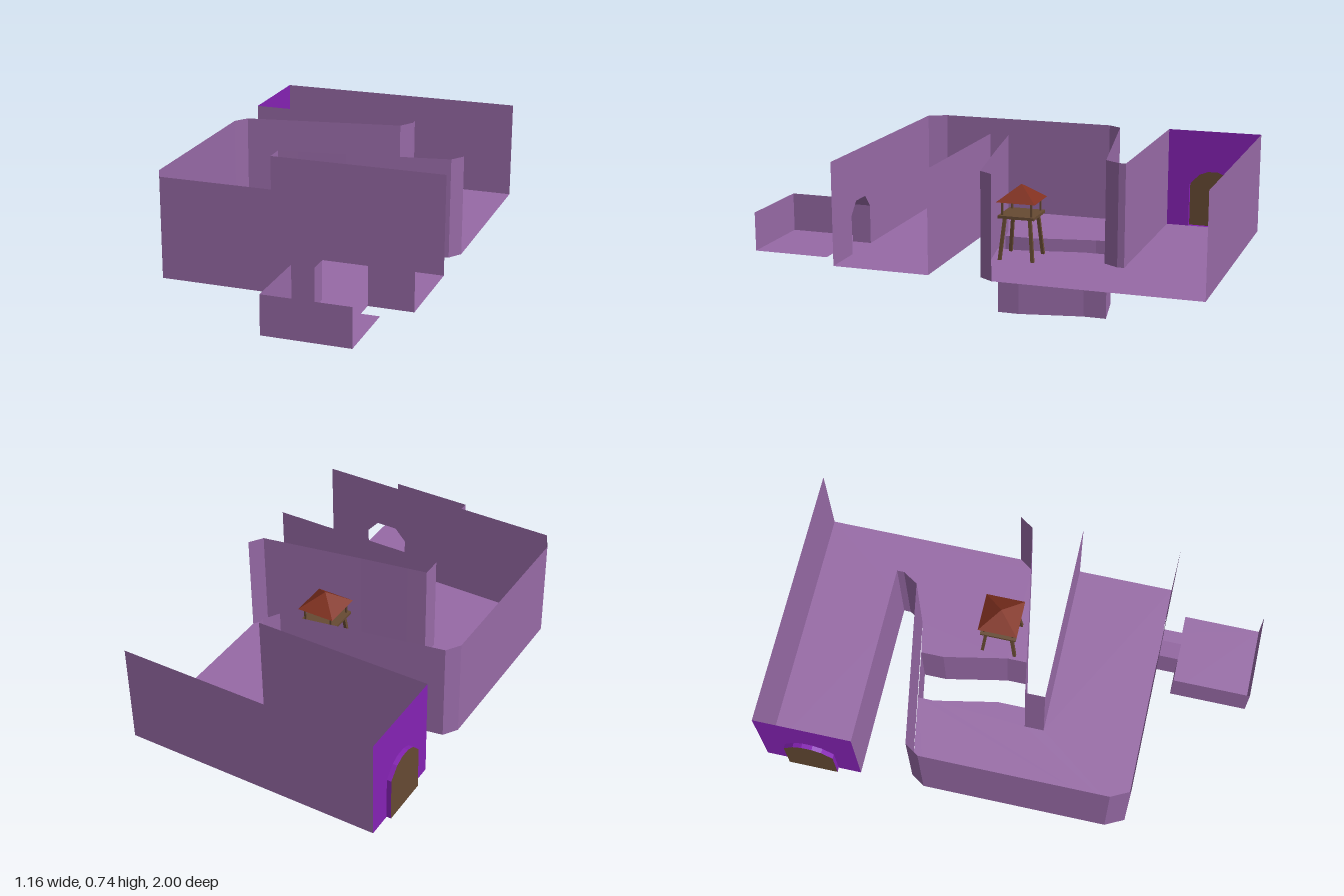
import * as THREE from 'three';

const FLOOR = 0.29, TOP = 0.735, LOW = 0.46;

export function createModel() {
  const root = new THREE.Group();
  root.name = 'caveRooms';
  const mat = (name, color) => {
    const m = new THREE.MeshStandardMaterial({ color, side: THREE.DoubleSide });
    m.name = name;
    return m;
  };
  const stone = mat('mauve stone', 0x976aa6);
  const violet = mat('violet wall', 0x8522b4);
  const wood = mat('brown wood', 0x664a33);
  const tile = mat('red brown roof', 0x80301f);

  const add = (name, geometry, material, parent = root) => {
    const mesh = new THREE.Mesh(geometry, material);
    mesh.name = name;
    parent.add(mesh);
    return mesh;
  };
  // Flat-faced strip between two rows of [x, y, z] points
  const strip = (a, b) => {
    const pos = [];
    for (let i = 0; i < a.length - 1; i++) {
      pos.push(...a[i], ...a[i + 1], ...b[i + 1], ...a[i], ...b[i + 1], ...b[i]);
    }
    const g = new THREE.BufferGeometry();
    g.setAttribute('position', new THREE.Float32BufferAttribute(pos, 3));
    g.computeVertexNormals();
    return g;
  };
  // Upright wall along a plan path of [x, z] points
  const wall = (name, path, y0 = FLOOR, y1 = TOP) =>
    add(name, strip(path.map(([x, z]) => [x, y0, z]), path.map(([x, z]) => [x, y1, z])), stone);
  const flat = (pts) => new THREE.ShapeGeometry(new THREE.Shape(pts.map(([x, y]) => new THREE.Vector2(x, y))));
  const floor = (name, pts) => add(name, flat(pts).rotateX(-Math.PI / 2).scale(1, 1, -1).translate(0, FLOOR, 0), stone);

  // Shaft sides, shared with the floor edges
  const shaftLeft = [[-0.115, 0.055], [-0.115, -0.07], [-0.17, -0.35], [-0.17, -0.42]];
  const shaftRight = [[0.095, 0.02], [0.095, -0.075], [0.04, -0.355], [0.04, -0.457]];

  // Floors
  const floors = [
    ['frontRoomFloor', [[-0.56, 0.5], [-0.52, 0.58], [0.58, 0.58], [0.58, 0.155], [-0.2, 0.155], [-0.2, 0.07],
      ...shaftLeft, [-0.52, -0.36], [-0.56, -0.3]]],
    ['backRoomFloor', [[-0.56, -1], [0.58, -1], [0.58, -0.12], [0.54, -0.06], ...shaftRight,
      [0.18, -0.485], [0.22, -0.55], [0.22, -0.58], [-0.56, -0.58]]],
    ['entranceFloor', [[0.19, 0.58], [0.385, 0.58], [0.385, 0.665], [0.465, 0.665], [0.465, 1],
      [0.09, 1], [0.09, 0.665], [0.19, 0.665]]],
  ];
  floors.forEach(([name, pts]) => {
    // Reversing z with a rotation keeps the faces upward
    const g = flat(pts).rotateX(Math.PI / 2).translate(0, FLOOR, 0);
    add(name, g, stone);
  });

  // Main walls
  wall('backWall', [[-0.56, -1], [0.58, -1]]);
  wall('outerWall', [[-0.52, 0.58], [-0.56, 0.5], [-0.56, -0.3], [-0.52, -0.36], [0.18, -0.485],
    [0.22, -0.55], [0.22, -0.58], [-0.56, -0.58]]);
  wall('innerWall', [[0.58, 0.155], [-0.2, 0.155], [-0.2, 0.07], [-0.115, 0.055], [0.095, 0.02],
    [0.54, -0.06], [0.58, -0.12]]);

  // Front wall with arched opening
  add('frontWall', flat([[-0.52, FLOOR], [0.19, FLOOR], [0.19, LOW], [0.24, 0.515], [0.335, 0.515], [0.385, LOW],
    [0.385, FLOOR], [0.58, FLOOR], [0.58, TOP], [-0.52, TOP]]).translate(0, 0, 0.58), stone);

  // Cut-away entrance: low walls and half of the tunnel arch
  wall('entranceWall', [[0.19, 0.665], [0.09, 0.665], [0.09, 1], [0.465, 1]], FLOOR, LOW);
  const arch = [[0.19, FLOOR], [0.19, LOW], [0.24, 0.515]];
  add('entranceArch', strip(arch.map(([x, y]) => [x, y, 0.58]), arch.map(([x, y]) => [x, y, 0.665])), stone);

  // Open shaft below the floor
  wall('shaftWall', [...shaftLeft, ...[...shaftRight].reverse(), shaftLeft[0]], 0, FLOOR);

  // Violet end wall with an arched door niche, outlined in [z, y]
  const door = [[-0.895, FLOOR], [-0.895, 0.485], [-0.85, 0.532], [-0.81, 0.548], [-0.765, 0.548],
    [-0.725, 0.532], [-0.68, 0.485], [-0.68, FLOOR]];
  const side = (g, x) => g.rotateY(-Math.PI / 2).translate(x, 0, 0);
  add('endWall', side(flat([[-1, FLOOR], ...door, [-0.58, FLOOR], [-0.58, TOP], [-1, TOP]]), -0.56), violet);
  const rim = [...door, door[0]];
  add('doorRim', strip(rim.map(([z, y]) => [-0.56, y, z]), rim.map(([z, y]) => [-0.58, y, z])), violet);
  add('door', side(flat(door), -0.58), wood);

  // Small watchtower
  const tower = new THREE.Group();
  tower.name = 'watchtower';
  tower.position.set(0.19, 0, -0.12);
  root.add(tower);
  const beam = (name, from, to, w) => {
    const a = new THREE.Vector3(...from), b = new THREE.Vector3(...to);
    const m = add(name, new THREE.BoxGeometry(w, a.distanceTo(b), w), wood, tower);
    m.position.copy(a).add(b).multiplyScalar(0.5);
    m.quaternion.setFromUnitVectors(new THREE.Vector3(0, 1, 0), b.sub(a).normalize());
  };
  for (const sx of [-1, 1]) {
    for (const sz of [-1, 1]) {
      beam('towerLeg', [sx * 0.075, 0.28, sz * 0.074], [sx * 0.056, 0.475, sz * 0.055], 0.014);
      beam('towerPost', [sx * 0.064, 0.475, sz * 0.064], [sx * 0.064, 0.55, sz * 0.064], 0.008);
    }
  }
  add('towerPlatform', new THREE.BoxGeometry(0.16, 0.012, 0.16), wood, tower).position.y = 0.478;
  const roof = new THREE.ConeGeometry(0.122, 0.068, 4).rotateY(Math.PI / 4).toNonIndexed();
  roof.computeVertexNormals();
  add('towerRoof', roof, tile, tower).position.y = 0.576;

  return root;
}
